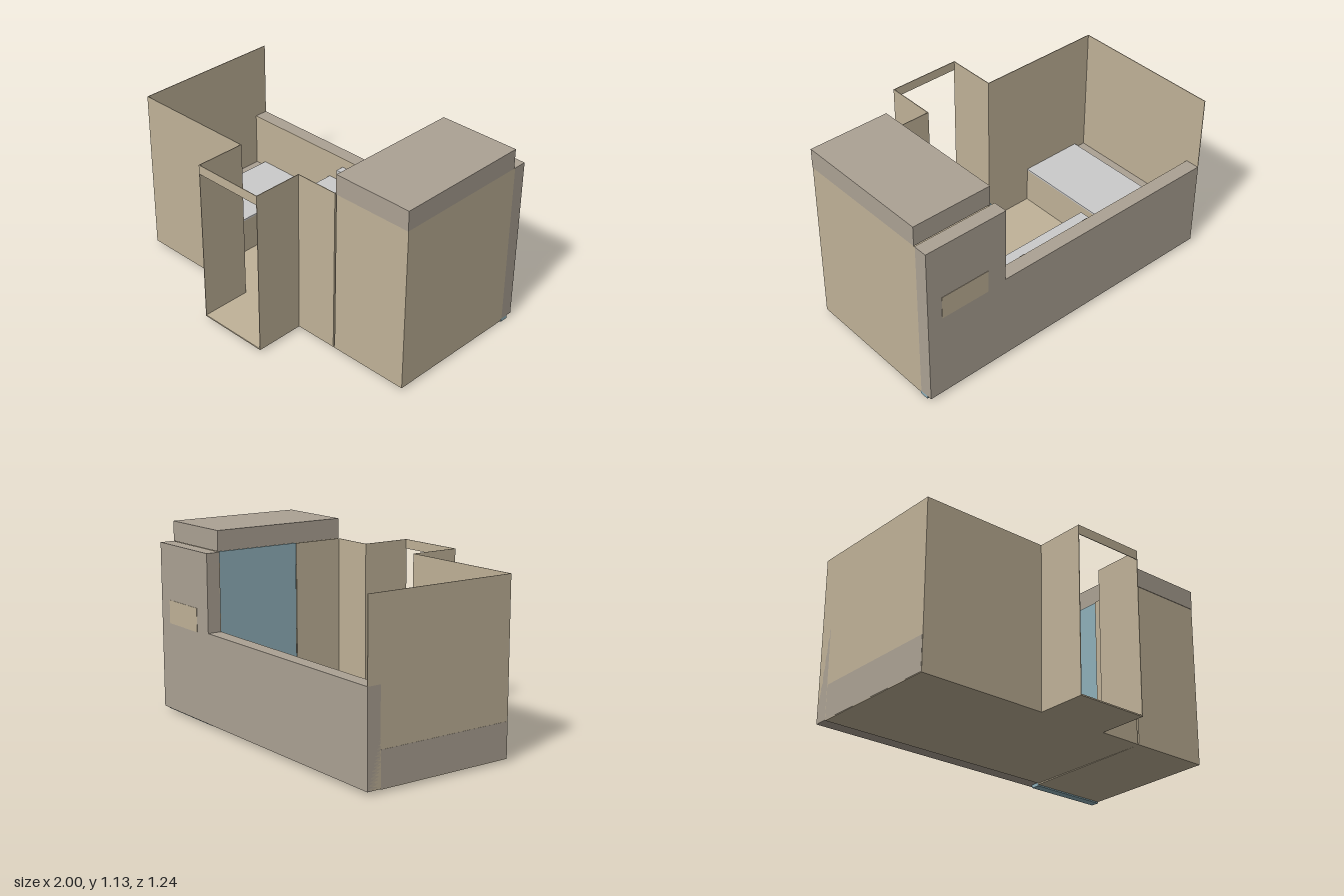
import * as THREE from 'three';

const mat = (color) => new THREE.MeshStandardMaterial({ color, flatShading: true });

export function createModel() {
  const model = new THREE.Group();
  const tan = mat(0xc0b298), taupe = mat(0xaca294), grey = mat(0xcbccc8);
  const wood = mat(0xa57c50), teal = mat(0x8fb0ba);
  const T = 0.004; // panel thickness

  // Box given by its extents on each axis
  const box = (name, material, [x0, x1], [y0, y1], [z0, z1]) => {
    const mesh = new THREE.Mesh(new THREE.BoxGeometry(x1 - x0, y1 - y0, z1 - z0), material);
    mesh.position.set((x0 + x1) / 2, (y0 + y1) / 2, (z0 + z1) / 2);
    mesh.name = name;
    model.add(mesh);
    return mesh;
  };

  const base = 0.022, top = 1.016, low = 0.558;
  const front = 0.312, back = -0.535, porch = 0.615;
  const full = [base, top];

  // Floors
  box('roomFloor', tan, [-1, 1], [base - T, base + T], [back, front]);
  box('porchFloor', tan, [-0.213, 0.232], [base - T, base + T], [front, porch]);

  // Thick back wall, stepped up behind the wet room, with a thin inner lining
  box('lowBackWall', taupe, [-1, 0.48], [base, low], [-0.62, back - T]);
  box('tallBackWall', taupe, [0.48, 1], full, [-0.62, back - T]);
  box('lowWallLining', tan, [-1, 0.48], [base, low], [back - T, back]);
  box('tallWallLining', tan, [0.48, 1], full, [back - T, back]);
  box('backWallPanel', tan, [0.6, 0.908], [0.545, 0.685], [-0.622, -0.62]);

  // Thin outer walls
  box('sideWall', tan, [-1, -1 + T], full, [-0.62, front]);
  box('frontWallWide', tan, [-1, -0.213], full, [front - T, front]);
  box('frontWallNarrow', tan, [0.232, 0.497], full, [front - T, front]);
  box('innerSideWall', tan, [0.493, 0.497], full, [0, front]);

  // Entrance porch with a lintel over the opening
  for (const x of [-0.213, 0.228]) {
    box('porchSideWall', tan, [x, x + T], full, [front - T, porch]);
  }
  box('porchLintel', tan, [-0.213, 0.232], [0.96, top], [porch - T, porch]);

  // Wet room: closed walls, raised roof, sliding door and base
  const wet = [0.508, 1];
  box('wetRoomFront', tan, wet, full, [front - T, front]);
  for (const x of [0.508, 1 - T]) {
    box('wetRoomSide', tan, [x, x + T], full, [back, front]);
  }
  box('wetRoomRoof', taupe, wet, [top, 1.135], [-0.53, front + 0.003]);
  box('slidingDoor', teal, [0.499, 0.506], full, [back, 0]);
  box('wetRoomBase', teal, wet, [0.002, base], [-0.588, back]);

  // Gently sloping underside panel below the wet room
  const wedge = new THREE.Shape();
  wedge.moveTo(back, base - T);
  wedge.lineTo(back, 0.01);
  wedge.lineTo(front, base - T);
  const slope = new THREE.Mesh(
    new THREE.ExtrudeGeometry(wedge, { depth: 0.49, bevelEnabled: false }), tan);
  slope.rotation.y = -Math.PI / 2;
  slope.position.x = 0.999;
  slope.name = 'slopingUnderside';
  model.add(slope);

  // Bed along the side wall with a low ledge behind it
  box('bedBase', tan, [-0.92, -0.52], [base, 0.245], [back, front - T]);
  box('mattressTop', grey, [-0.92, -0.52], [0.245, 0.255], [back, front - T]);
  box('bedLedge', taupe, [-1.001, -0.92], [base, 0.225], [back, front - T]);

  // Counter against the back wall with two small brackets
  box('counterCabinet', wood, [-0.35, 0.363], [base, 0.388], [back, -0.333]);
  box('counterTop', grey, [-0.35, 0.363], [0.388, 0.394], [back, -0.333]);
  for (const x of [-0.243, 0.222]) {
    box('wallBracket', grey, [x, x + 0.035], [0.455, 0.5], [back, -0.482]);
  }
  return model;
}
